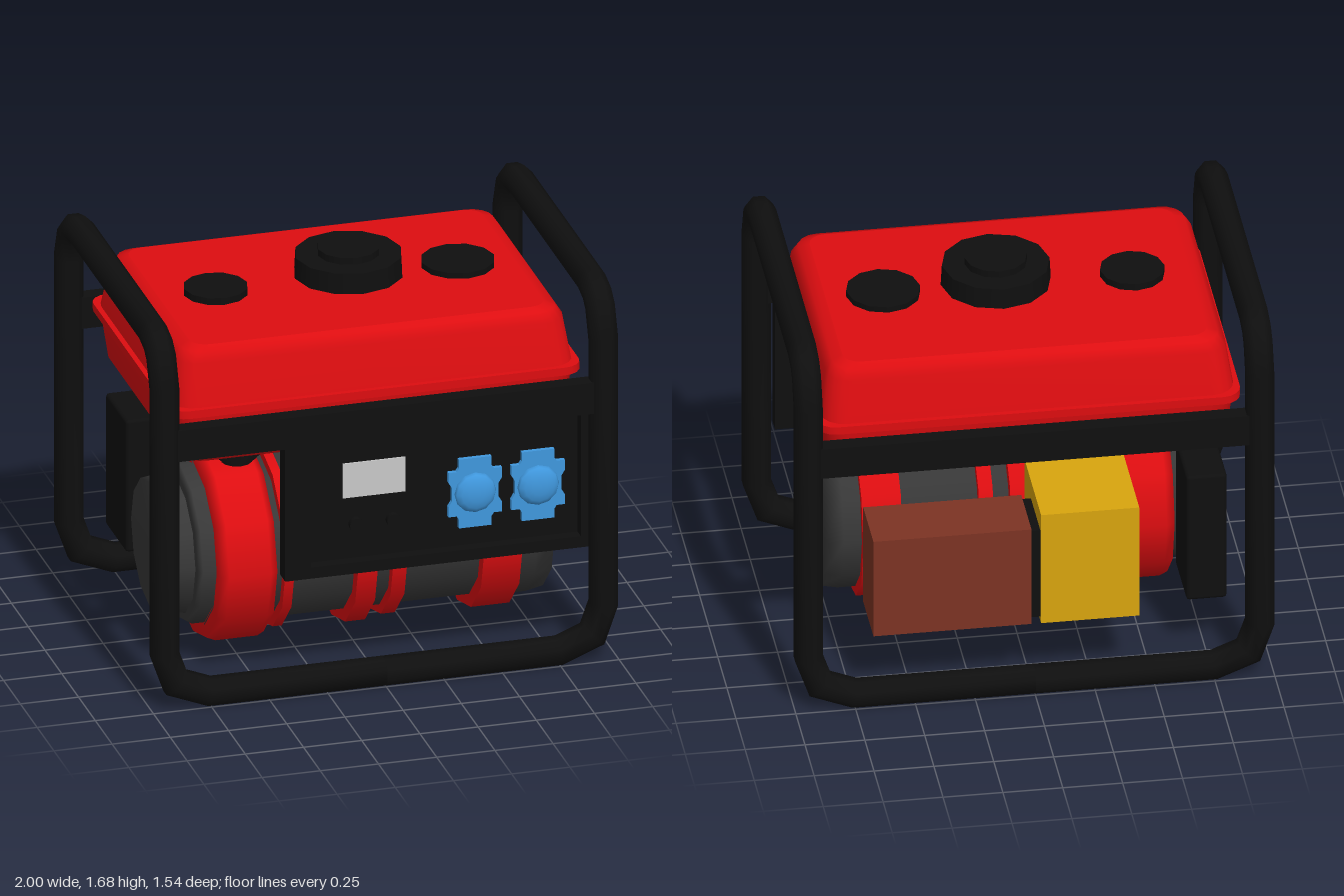
import * as THREE from 'three';
import { RoundedBoxGeometry } from 'three/addons/geometries/RoundedBoxGeometry.js';

const mat = (name, color) => {
  const m = new THREE.MeshStandardMaterial({ color });
  m.name = name;
  return m;
};

// Closed skin over a list of equal-length rings (counterclockwise about the sweep)
function skin(rings, capped = true) {
  const n = rings[0].length, pos = [], idx = [];
  rings.forEach(r => r.forEach(p => pos.push(p.x, p.y, p.z)));
  for (let i = 0; i < rings.length - 1; i++) {
    for (let j = 0; j < n; j++) {
      const a = i * n + j, b = i * n + (j + 1) % n;
      idx.push(a, b, a + n, b, b + n, a + n);
    }
  }
  if (capped) {
    [0, rings.length - 1].forEach((k, end) => {
      const base = pos.length / 3;
      const c = new THREE.Vector3();
      rings[k].forEach(p => { c.addScaledVector(p, 1 / n); pos.push(p.x, p.y, p.z); });
      pos.push(c.x, c.y, c.z);
      for (let j = 0; j < n; j++) {
        const a = base + j, b = base + (j + 1) % n;
        idx.push(base + n, end ? a : b, end ? b : a);
      }
    });
  }
  const g = new THREE.BufferGeometry();
  g.setAttribute('position', new THREE.Float32BufferAttribute(pos, 3));
  g.setIndex(idx);
  g.computeVertexNormals();
  return g;
}

// Horizontal rounded rectangle at height y
function roundedRing([y, hx, hz, r]) {
  const out = [];
  [[1, -1], [-1, -1], [-1, 1], [1, 1]].forEach(([sx, sz], q) => {
    for (let k = 0; k <= 4; k++) {
      const a = (q + k / 4) * Math.PI / 2;
      out.push(new THREE.Vector3(sx * (hx - r) + r * Math.cos(a), y, sz * (hz - r) - r * Math.sin(a)));
    }
  });
  return out;
}

// Octagonal pipe with mitred bends; the path starts along +x
function pipe(points, half) {
  const R = half / Math.cos(Math.PI / 8);
  let ring = [];
  for (let k = 0; k < 8; k++) {
    const a = (k + 0.5) * Math.PI / 4;
    ring.push(new THREE.Vector3(0, R * Math.cos(a), R * Math.sin(a)).add(points[0]));
  }
  const rings = [ring];
  for (let i = 1; i < points.length; i++) {
    const tin = points[i].clone().sub(points[i - 1]).normalize();
    const tout = i < points.length - 1 ? points[i + 1].clone().sub(points[i]).normalize() : tin;
    const plane = tin.clone().add(tout);
    ring = ring.map(p => {
      const d = points[i].clone().sub(p).dot(plane) / tin.dot(plane);
      return p.clone().addScaledVector(tin, d);
    });
    rings.push(ring);
  }
  return skin(rings, false);
}

export function createModel() {
  const root = new THREE.Group();
  root.name = 'portableGenerator';
  const black = mat('frameBlack', 0x0f0f0f), red = mat('red', 0xdd0d10);
  const grey = mat('darkGrey', 0x383838), brown = mat('rustBrown', 0x7c3323);
  const yellow = mat('yellow', 0xd9a50e), blue = mat('socketBlue', 0x4098de);
  const light = mat('screenGrey', 0xc8c8c8);

  const add = (name, geo, m, x = 0, y = 0, z = 0) => {
    const mesh = new THREE.Mesh(geo, m);
    mesh.name = name;
    mesh.position.set(x, y, z);
    root.add(mesh);
    return mesh;
  };
  // Box given by its limits
  const box = (name, m, x0, x1, y0, y1, z0, z1, r = 0) => add(name,
    r ? new RoundedBoxGeometry(x1 - x0, y1 - y0, z1 - z0, 1, r) : new THREE.BoxGeometry(x1 - x0, y1 - y0, z1 - z0),
    m, (x0 + x1) / 2, (y0 + y1) / 2, (z0 + z1) / 2);
  // Upright disc between two heights
  const disc = (name, m, x, z, y0, y1, r, r2 = r) =>
    add(name, new THREE.CylinderGeometry(r2, r, y1 - y0, 12), m, x, (y0 + y1) / 2, z);

  // Tubular frame: one half swept, the other turned half round
  const X = 0.9425, Z = 0.7125;
  const front = [[0, 0.0575, Z], [0.75, 0.0575, Z], [0.895, 0.115, Z], [X, 0.25, Z],
    [X, 1.44, Z], [X, 1.565, 0.665], [X, 1.605, 0.62], [X, 1.6275, 0.54]];
  const path = [...front, ...front.map(([x, y, z]) => [x, y, -z]).reverse()]
    .map(p => new THREE.Vector3(...p));
  const tube = pipe(path, 0.0575);
  add('frameLeft', tube, black);
  add('frameRight', tube, black).rotation.y = Math.PI;
  for (const s of [1, -1]) {
    box(s > 0 ? 'frontCrossbar' : 'rearCrossbar', black, -0.91, 0.91, 1.12, 1.26, s * 0.71 - 0.035, s * 0.71 + 0.035);
  }

  // Fuel tank: two pressed shells and a seam flange
  add('tankUpper', skin([[1.27, 0.865, 0.607, 0.1], [1.47, 0.835, 0.567, 0.1], [1.515, 0.805, 0.55, 0.09],
    [1.53, 0.76, 0.515, 0.07]].map(roundedRing)), red);
  add('tankLower', skin([[1.01, 0.765, 0.52, 0.07], [1.025, 0.805, 0.555, 0.09], [1.07, 0.84, 0.575, 0.1],
    [1.27, 0.865, 0.607, 0.1]].map(roundedRing)), red);
  add('tankSeam', skin([[1.253, 0.885, 0.625, 0.08], [1.288, 0.885, 0.625, 0.08]].map(roundedRing)), red);

  // Filler cap, gauges and fuel valve
  disc('fillerNeck', black, 0.05, 0, 1.52, 1.56, 0.13);
  disc('fillerCap', black, 0.05, 0.01, 1.55, 1.64, 0.23, 0.225);
  disc('fillerKnob', black, 0.05, 0.01, 1.63, 1.67, 0.13);
  disc('fuelGauge', black, -0.52, 0.01, 1.52, 1.56, 0.135);
  disc('ventCap', black, 0.52, 0.01, 1.52, 1.555, 0.155);
  [[0.98, 1.02, 0.11], [0.955, 0.985, 0.085], [0.935, 0.96, 0.065]].forEach(([a, b, r]) =>
    disc('fuelValve', black, -0.54, 0.39, a, b, r));

  // Engine and alternator: twelve-sided drums along x
  const drum = (name, m, pts) => {
    const g = new THREE.LatheGeometry(pts.map(([x, r]) => new THREE.Vector2(r, x)), 12);
    g.rotateZ(-Math.PI / 2);
    return add(name, g, m, 0, 0.485, 0.14);
  };
  const band = (x0, x1, r) => {
    const g = new THREE.CylinderGeometry(r, r, x1 - x0, 12).rotateZ(-Math.PI / 2);
    add('housingBand', g, red, (x0 + x1) / 2, 0.485, 0.14);
  };
  drum('motorCore', grey, [[-0.66, 0.355], [0.65, 0.355]]);
  drum('leftEndCover', grey, [[0.64, 0.37], [0.72, 0.37], [0.797, 0.355], [0.8, 0]]);
  drum('rightEndCover', grey, [[-0.73, 0], [-0.73, 0.33], [-0.71, 0.345], [-0.65, 0.345]]);
  drum('starterHousing', grey, [[-0.84, 0], [-0.84, 0.28], [-0.8, 0.285], [-0.72, 0.3]]);
  drum('fanHousing', red, [[-0.655, 0.33], [-0.655, 0.41], [-0.62, 0.425], [-0.44, 0.425], [-0.41, 0.41], [-0.41, 0.34]]);
  [[-0.37, -0.33, 0.395], [-0.06, 0.025, 0.41], [0.095, 0.155, 0.395], [0.48, 0.645, 0.41]].forEach(b => band(...b));

  // Parts at the back
  box('muffler', brown, 0.01, 0.67, 0.32, 0.775, -0.71, -0.43);
  box('mufflerGasket', black, -0.035, 0.015, 0.34, 0.755, -0.69, -0.43);
  box('cylinderShroud', yellow, -0.44, -0.03, 0.32, 0.84, -0.71, -0.25);
  box('airFilter', black, -0.83, -0.66, 0.28, 0.875, -0.56, -0.25, 0.015);

  // Control panel with a raised bezel
  box('panelPlate', black, -0.32, 0.86, 0.57, 1.13, 0.655, 0.685);
  box('bezelSide', black, -0.43, -0.32, 0.52, 1.13, 0.66, 0.735);
  box('bezelSide', black, 0.84, 0.872, 0.52, 1.13, 0.66, 0.735);
  box('bezelBottom', black, -0.32, 0.84, 0.52, 0.57, 0.66, 0.735);
  box('screen', light, -0.17, 0.1, 0.845, 1.0, 0.683, 0.692);
  for (const x of [-0.115, 0.045]) {
    add('panelButton', new THREE.CylinderGeometry(0.03, 0.03, 0.03, 12), black, x, 0.725, 0.695).rotation.x = Math.PI / 2;
  }

  // Power sockets: cross-shaped plate with a domed cover
  const q = [[0.07, 0.155], [0.07, 0.115], [0.08, 0.1], [0.115, 0.1], [0.115, 0.055], [0.1, 0.03]];
  const outline = [
    ...q, ...q.map(([x, y]) => [x, -y]).reverse(),
    ...q.map(([x, y]) => [-x, -y]), ...q.map(([x, y]) => [-x, y]).reverse(),
  ].map(p => new THREE.Vector2(...p));
  const plate = new THREE.ExtrudeGeometry(new THREE.Shape(outline), { depth: 0.025, bevelEnabled: false });
  const dome = new THREE.SphereGeometry(0.09, 12, 4, 0, Math.PI * 2, 0, Math.PI / 2).scale(1, 0.4, 1).rotateX(Math.PI / 2);
  for (const x of [0.395, 0.665]) {
    add('socketPlate', plate, blue, x, 0.81, 0.68);
    add('socketCover', dome, blue, x, 0.81, 0.704);
  }
  return root;
}
